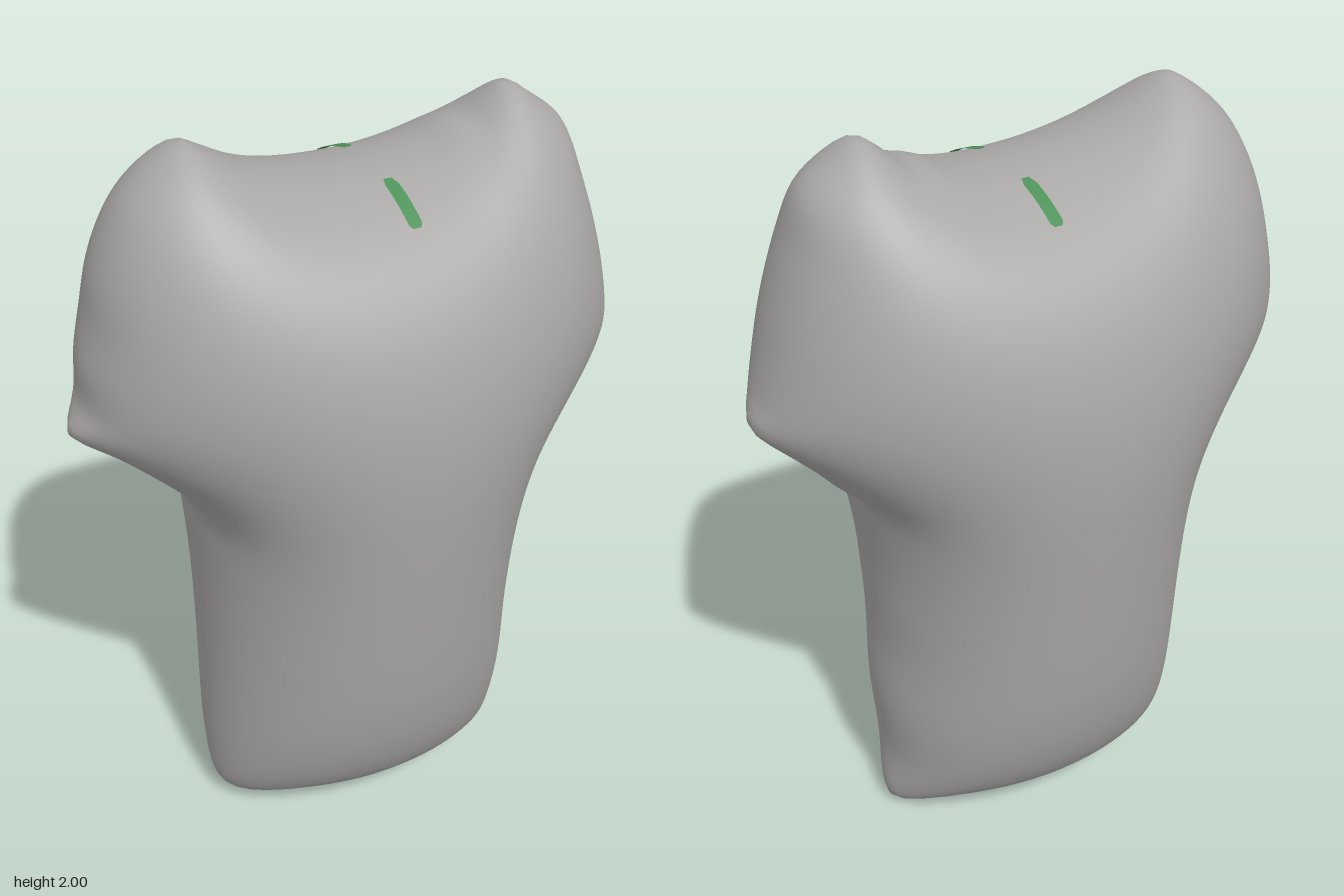
import * as THREE from 'three';

// Outline of the shirt, clockwise from the middle of the neckline
const OUTLINE = [
  0, 1.87, 0.1, 1.872, 0.2, 1.89, 0.27, 1.92, 0.32, 1.93, 0.37, 1.97, 0.42, 2.0, 0.48, 1.965,
  0.56, 1.9, 0.6, 1.79, 0.63, 1.7, 0.66, 1.6, 0.685, 1.5, 0.71, 1.41, 0.73, 1.35, 0.66, 1.27,
  0.61, 1.22, 0.54, 1.14, 0.49, 1.1, 0.465, 1.0, 0.445, 0.85, 0.44, 0.75, 0.435, 0.6, 0.445, 0.4,
  0.435, 0.2, 0.445, 0.06, 0.43, 0.02, 0.25, 0.018, 0.14, 0.005, 0, 0.002, -0.11, 0.005, -0.2, 0.02,
  -0.38, 0.03, -0.42, 0.07, -0.435, 0.2, -0.43, 0.5, -0.43, 0.75, -0.44, 0.95, -0.45, 1.05, -0.49, 1.12,
  -0.55, 1.18, -0.65, 1.27, -0.735, 1.33, -0.7, 1.4, -0.69, 1.5, -0.665, 1.6, -0.64, 1.72, -0.6, 1.82,
  -0.55, 1.9, -0.47, 1.97, -0.41, 2.0, -0.36, 1.975, -0.26, 1.92, -0.15, 1.885,
];
const CENTRE_Y = 1.2, RAYS = 240, RINGS = 36, DEPTH = 0.475;

// Membrane height over the flat panel: solves -laplace(u) = 2 with u = 0 on the rim
function solveMembrane(pts, tris, free) {
  const edges = [], diag = new Float64Array(pts.length), load = new Float64Array(pts.length);
  for (const t of tris) {
    const [a, b, c] = t.map((i) => pts[i]);
    const area2 = Math.abs((b.x - a.x) * (c.y - a.y) - (b.y - a.y) * (c.x - a.x));
    for (let k = 0; k < 3; k++) {
      const o = t[k], i = t[(k + 1) % 3], j = t[(k + 2) % 3];
      const P = pts[o], Q = pts[i], R = pts[j];
      const w = ((Q.x - P.x) * (R.x - P.x) + (Q.y - P.y) * (R.y - P.y)) / (2 * area2);
      edges.push([i, j, w]);
      diag[i] += w;
      diag[j] += w;
      load[o] += area2 / 3;
    }
  }
  const dot = (p, q) => { let s = 0; for (let i = 0; i < free; i++) s += p[i] * q[i]; return s; };
  const apply = (v) => {
    const out = v.map((x, i) => x * diag[i]);
    for (const [i, j, w] of edges) { out[i] -= w * v[j]; out[j] -= w * v[i]; }
    return out.fill(0, free);
  };
  // Preconditioned conjugate gradient
  const u = new Float64Array(pts.length), r = load.slice().fill(0, free);
  const precondition = () => r.map((x, i) => (i < free ? x / diag[i] : 0));
  let z = precondition(), p = z.slice(), rz = dot(r, z);
  const stop = rz * 1e-14;
  for (let n = 0; n < 2000 && rz > stop; n++) {
    const q = apply(p), alpha = rz / dot(p, q);
    for (let i = 0; i < free; i++) { u[i] += alpha * p[i]; r[i] -= alpha * q[i]; }
    z = precondition();
    const next = dot(r, z), beta = next / rz;
    rz = next;
    for (let i = 0; i < free; i++) p[i] = z[i] + beta * p[i];
  }
  return u;
}

// Closed cushion: a disc of rings fitted to the outline, inflated to both sides
function inflatedGeometry() {
  const corners = [];
  for (let i = 0; i < OUTLINE.length; i += 2) corners.push(new THREE.Vector3(OUTLINE[i], OUTLINE[i + 1], 0));
  const rim = new THREE.CatmullRomCurve3(corners.reverse(), true, 'centripetal').getSpacedPoints(RAYS).slice(0, RAYS);

  const pts = [new THREE.Vector2(0, CENTRE_Y)];
  for (let k = 1; k <= RINGS; k++) {
    const s = Math.sin((Math.PI / 2) * (k / RINGS)); // rings crowd towards the rounded rim
    for (const p of rim) pts.push(new THREE.Vector2(p.x * s, CENTRE_Y + (p.y - CENTRE_Y) * s));
  }
  const id = (k, j) => (k === 0 ? 0 : 1 + (k - 1) * RAYS + (j % RAYS));
  const tris = [];
  for (let j = 0; j < RAYS; j++) {
    tris.push([0, id(1, j), id(1, j + 1)]);
    for (let k = 1; k < RINGS; k++) {
      tris.push([id(k, j), id(k + 1, j), id(k + 1, j + 1)], [id(k, j), id(k + 1, j + 1), id(k, j + 1)]);
    }
  }
  const free = id(RINGS, 0);
  const height = Array.from(solveMembrane(pts, tris, free), (u) => Math.sqrt(Math.max(u, 0)));
  const scale = DEPTH / Math.max(...height);

  // Front nodes, then back nodes; the rim is shared
  const position = [], index = [];
  for (const side of [1, -1]) {
    const count = side > 0 ? pts.length : free;
    for (let i = 0; i < count; i++) position.push(pts[i].x, pts[i].y, side * scale * height[i]);
  }
  const back = (i) => (i < free ? i + pts.length : i);
  for (const [a, b, c] of tris) index.push(a, b, c, back(a), back(c), back(b));
  const g = new THREE.BufferGeometry();
  g.setAttribute('position', new THREE.Float32BufferAttribute(position, 3));
  g.setIndex(index);
  g.computeVertexNormals();
  return g;
}

// Thin strip lying on the surface just below the neckline
function markGeometry(body, side) {
  const ray = new THREE.Raycaster(), position = [], index = [], rows = 10;
  for (let i = 0; i <= rows; i++) {
    const y = 1.797 + (0.062 * i) / rows;
    const half = i === 0 || i === rows ? 0.01 : 0.017;
    for (const x of [0.05 - half, 0.05 + half]) {
      ray.set(new THREE.Vector3(x, y, 2 * side), new THREE.Vector3(0, 0, -side));
      const hit = ray.intersectObject(body)[0];
      position.push(x, y + 0.003, (hit ? hit.point.z : 0) + side * 0.004);
    }
    if (i > 0) {
      const a = 2 * i - 2;
      index.push(a, a + 1, a + 3, a, a + 3, a + 2);
    }
  }
  if (side < 0) index.reverse();
  const g = new THREE.BufferGeometry();
  g.setAttribute('position', new THREE.Float32BufferAttribute(position, 3));
  g.setIndex(index);
  g.computeVertexNormals();
  return g;
}

export function createModel() {
  const group = new THREE.Group();
  group.name = 'paddedShirt';
  const cloth = new THREE.MeshStandardMaterial({ color: 0xa9a8a6 });
  cloth.name = 'grey cloth';
  const green = new THREE.MeshStandardMaterial({ color: 0x4f9159, side: THREE.DoubleSide });
  green.name = 'green mark';

  const body = new THREE.Mesh(inflatedGeometry(), cloth);
  body.name = 'shirtBody';
  group.add(body);

  for (const [name, side] of [['frontNeckMark', 1], ['backNeckMark', -1]]) {
    const mark = new THREE.Mesh(markGeometry(body, side), green);
    mark.name = name;
    group.add(mark);
  }
  return group;
}
